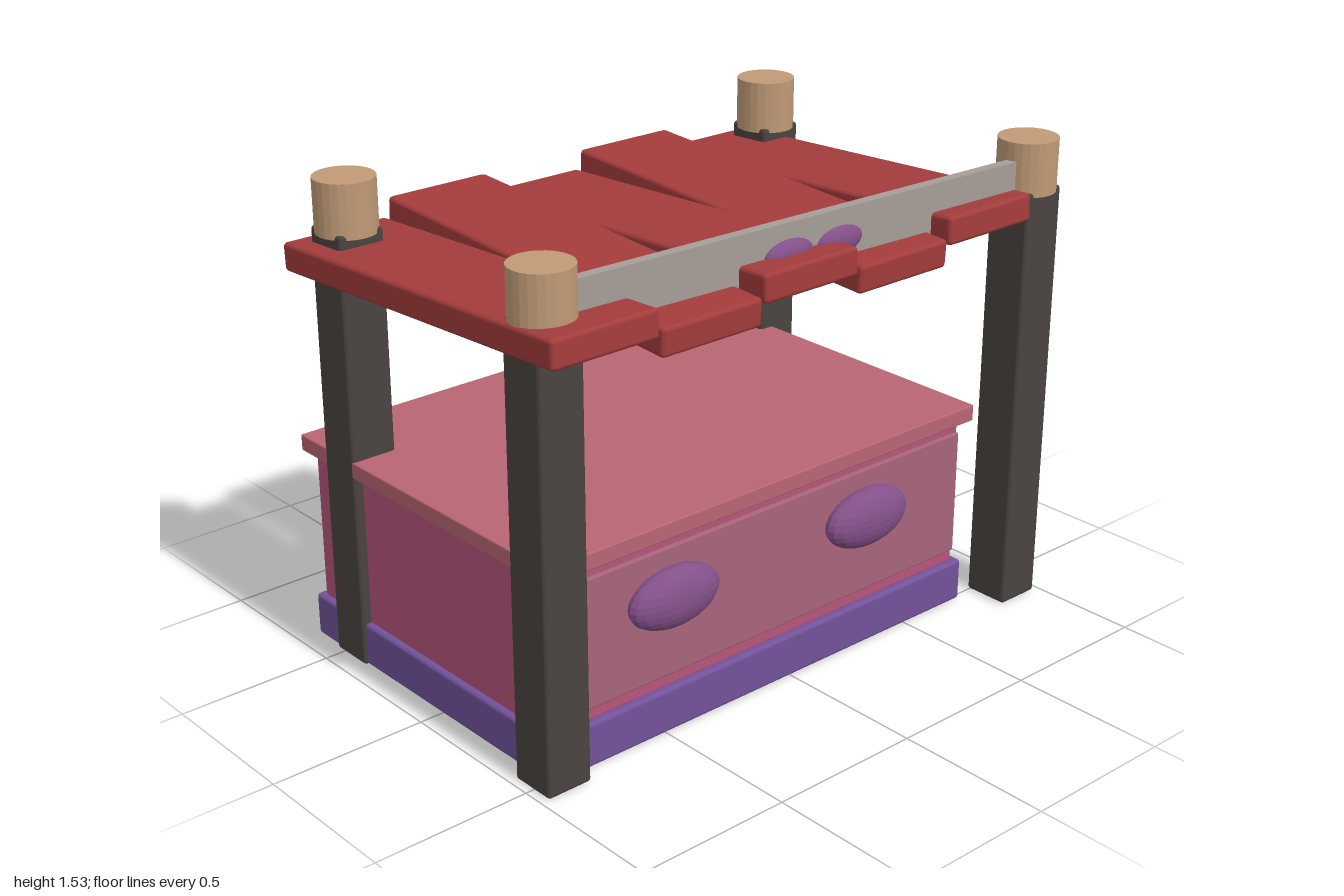
import * as THREE from 'three';
import { RoundedBoxGeometry } from 'three/addons/geometries/RoundedBoxGeometry.js';

function material(name, color) {
  const m = new THREE.MeshStandardMaterial({ color });
  m.name = name;
  return m;
}

// Faceted look without changing the material
function faceted(geometry) {
  const g = geometry.toNonIndexed();
  g.computeVertexNormals();
  return g;
}

export function createModel() {
  const model = new THREE.Group();
  model.name = 'marketStall';

  const postWood = material('dark post wood', 0x4a4340);
  const capWood = material('tan cap wood', 0xc09a76);
  const plankRed = material('roof red', 0xa33c3c);
  const lidPink = material('counter pink', 0xb86673);
  const boxPink = material('chest magenta', 0xb4567b);
  const panelPink = material('panel mauve', 0xa7647a);
  const basePurple = material('base purple', 0x73529a);
  const knobPurple = material('knob purple', 0x84508a);
  const barGrey = material('bar grey', 0xa69d97);

  function add(name, geometry, mat, x, y, z, parent = model) {
    const mesh = new THREE.Mesh(geometry, mat);
    mesh.name = name;
    mesh.position.set(x, y, z);
    parent.add(mesh);
    return mesh;
  }

  // Box given by its extents on each axis, with softened edges
  function block(name, mat, [x0, x1], [y0, y1], [z0, z1], radius) {
    const g = new RoundedBoxGeometry(x1 - x0, y1 - y0, z1 - z0, 2, radius);
    return add(name, g, mat, (x0 + x1) / 2, (y0 + y1) / 2, (z0 + z1) / 2);
  }

  function knob(name, x, y, z, rx, ry, rz) {
    const g = new THREE.SphereGeometry(1, 20, 14);
    g.scale(rx, ry, rz);
    return add(name, faceted(g), knobPurple, x, y, z);
  }

  // Counter: plinth, chest, worktop and front panel
  block('base', basePurple, [-0.925, 0.755], [0, 0.14], [-0.655, 0.52], 0.012);
  block('chest', boxPink, [-0.905, 0.735], [0.13, 0.635], [-0.637, 0.497], 0.015);
  block('worktop', lidPink, [-0.935, 0.765], [0.627, 0.68], [-0.665, 0.53], 0.005);
  block('frontPanel', panelPink, [-0.895, 0.725], [0.18, 0.59], [0.47, 0.51], 0.006);
  for (const x of [-0.48, 0.295]) knob('panelKnob', x, 0.445, 0.53, 0.165, 0.093, 0.06);

  // Four uneven corner posts with round caps
  const posts = [
    ['frontRightPost', -0.9, 0.498],
    ['frontLeftPost', 0.902, 0.568],
    ['backRightPost', -0.86, -0.457],
    ['backLeftPost', 0.788, -0.457],
  ];
  const postGeometry = new RoundedBoxGeometry(0.152, 1.38, 0.152, 2, 0.012);
  const capGeometry = faceted(new THREE.CylinderGeometry(0.093, 0.093, 0.166, 24));
  for (const [name, x, z] of posts) {
    const post = new THREE.Group();
    post.name = name;
    post.position.set(x, 0, z);
    model.add(post);
    add('post', postGeometry, postWood, 0, 0.69, 0, post);
    add('cap', capGeometry, capWood, 0, 1.447, 0, post);
  }
  
  // Roof planks, tilted alternately forwards and backwards
  const plankGeometry = new RoundedBoxGeometry(0.357, 0.087, 1.247, 2, 0.013);
  for (let i = 0; i < 5; i++) {
    const plank = add('roofPlank', plankGeometry, plankRed, -0.82 + i * 0.366, 1.315, 0.038);
    plank.rotation.x = i % 2 ? 0.05 : -0.05;
  }

  // Slanted front bar with two small knobs
  const bar = add('frontBar', new THREE.BoxGeometry(1.64, 0.18, 0.034), barGrey, 0.005, 1.383, 0.548);
  bar.rotation.y = -0.042;
  knob('barKnob', -0.085, 1.38, 0.556, 0.092, 0.046, 0.03);
  knob('barKnob', 0.108, 1.38, 0.56, 0.092, 0.046, 0.03);

  return model;
}
